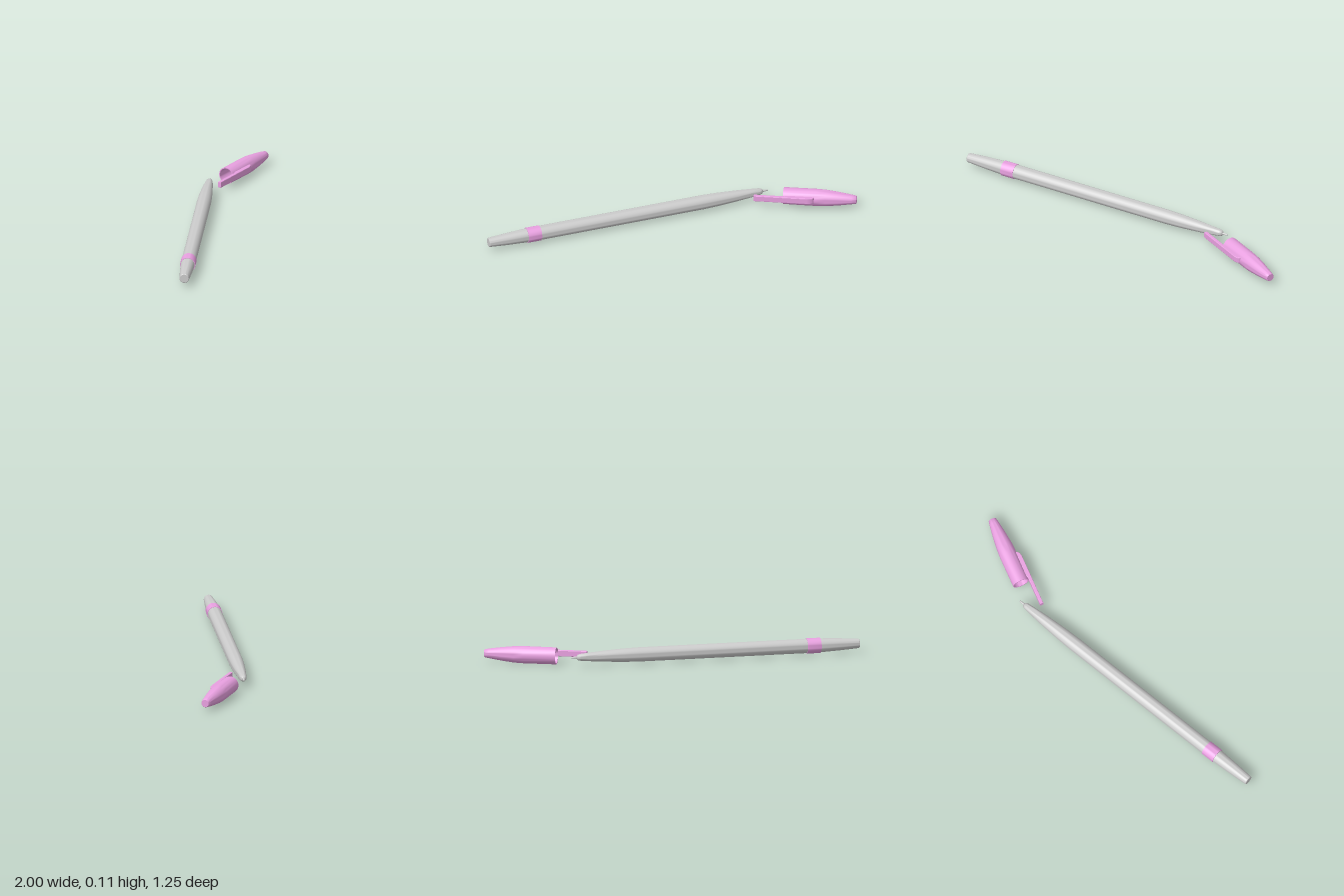
import * as THREE from 'three';
import { toCreasedNormals } from 'three/addons/utils/BufferGeometryUtils.js';

const grey = new THREE.MeshStandardMaterial({ color: 0xcccccc });
const pink = new THREE.MeshStandardMaterial({ color: 0xe8a0e0 });

// Turned part along +x from [distance along axis, radius] pairs
function turned(name, profile, material) {
  const points = profile.map(([s, r]) => new THREE.Vector2(r, s));
  const geometry = new THREE.LatheGeometry(points, 32).rotateZ(-Math.PI / 2);
  const mesh = new THREE.Mesh(toCreasedNormals(geometry, 0.6), material);
  mesh.name = name;
  return mesh;
}

export function createModel() {
  const model = new THREE.Group();
  model.name = 'penWithCap';

  // Pen, lying diagonally with its tip at the back
  const pen = new THREE.Group();
  pen.name = 'pen';
  pen.position.set(-0.982, 0.055, 0.604);
  pen.rotation.y = 0.678;
  pen.add(
    turned('tailPlug', [[0, 0], [0, 0.026], [0.003, 0.029], [0.12, 0.037], [0.25, 0.043]], grey),
    turned('ring', [[0.249, 0.042], [0.249, 0.047], [0.335, 0.047], [0.335, 0.042]], pink),
    turned('barrel', [[0.335, 0.044], [1.4, 0.044], [1.5, 0.041], [1.62, 0.034], [1.72, 0.026],
      [1.77, 0.021], [1.785, 0.017], [1.793, 0.009], [1.795, 0]], grey),
    turned('nib', [[1.785, 0.008], [1.805, 0.006], [1.822, 0.005], [1.826, 0.003], [1.827, 0]], grey)
  );

  // Hollow cap lying beside the tip
  const cap = new THREE.Group();
  cap.name = 'cap';
  cap.position.set(0.553, 0.053, -0.512);
  cap.rotation.y = 0.205;
  cap.add(turned('capShell', [[0.41, 0], [0.4, 0.022], [0.24, 0.044], [0, 0.046], [0, 0.052],
    [0.2, 0.053], [0.26, 0.051], [0.34, 0.042], [0.42, 0.03], [0.447, 0.025], [0.45, 0.023], [0.45, 0]], pink));

  // Pocket clip, joined to the cap at its far end
  const outline = new THREE.Shape();
  outline.moveTo(-0.175, 0.055);
  outline.lineTo(0.01, 0.054);
  outline.lineTo(0.03, 0.046);
  outline.lineTo(0.19, 0.046);
  outline.quadraticCurveTo(0.188, 0.064, 0.155, 0.069);
  outline.lineTo(-0.175, 0.07);
  outline.closePath();
  const clipGeometry = new THREE.ExtrudeGeometry(outline, {
    depth: 0.03, bevelEnabled: true, bevelThickness: 0.004, bevelSize: 0.003, bevelSegments: 2
  }).translate(0, 0, -0.015).rotateX(Math.PI / 2);
  const clip = new THREE.Mesh(clipGeometry, pink);
  clip.name = 'clip';
  clip.position.y = 0.007;
  cap.add(clip);

  model.add(pen, cap);
  return model;
}
